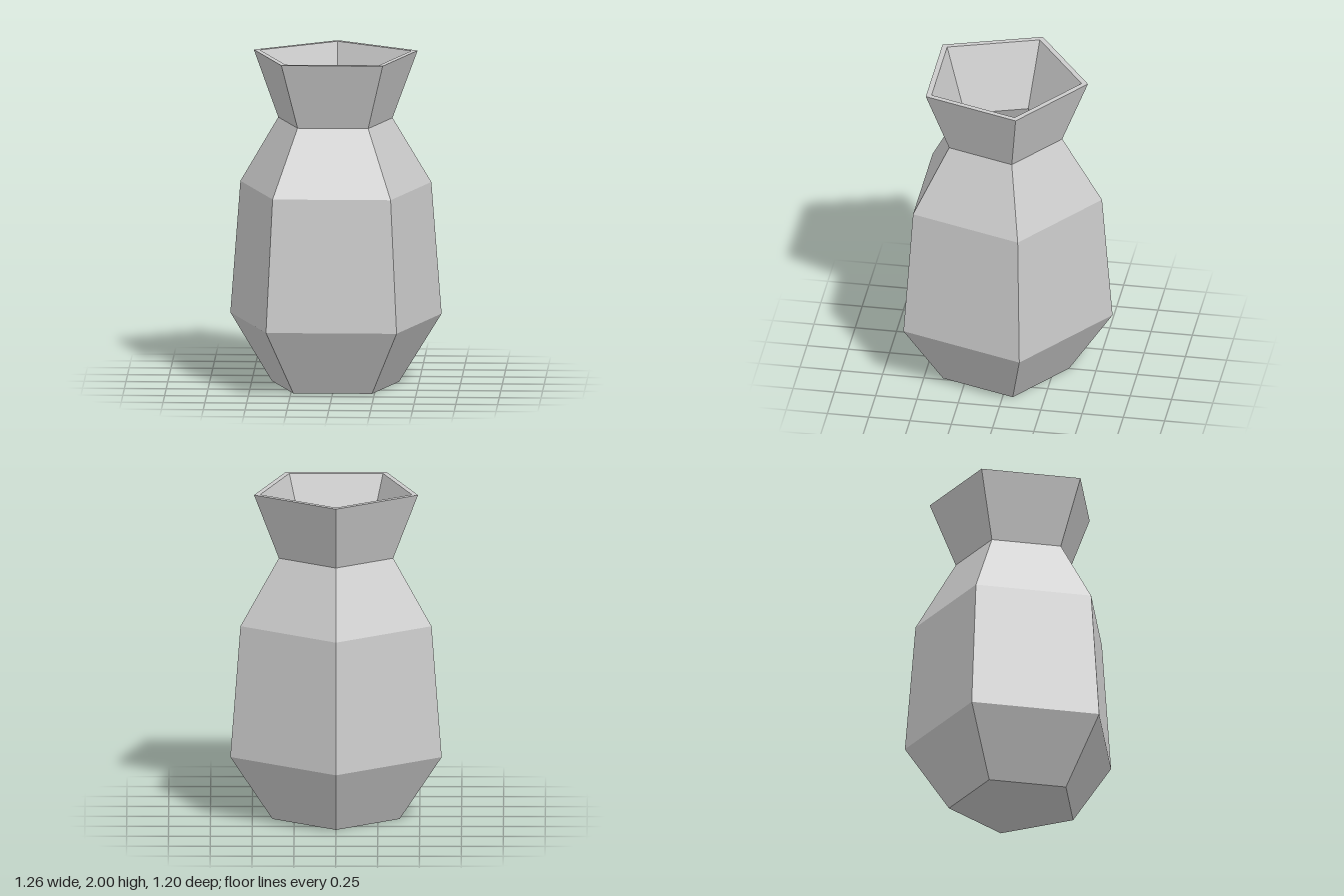
import * as THREE from 'three';

export function createModel() {
  const group = new THREE.Group();
  group.name = 'vase';

  // Closed wall profile [radius, height]: outside from base to rim, then down the inside
  const profile = [
    [0, 0], [0.4, 0], [0.664, 0.4], [0.6, 1.2], [0.359, 1.6], [0.515, 2],
    [0.476, 2], [0.326, 1.6], [0.562, 1.19], [0.624, 0.41], [0.38, 0.04], [0, 0.04],
  ].map(([r, y]) => new THREE.Vector2(r, y));

  // Five-sided body with one corner pointing to the back
  const body = new THREE.Mesh(
    new THREE.LatheGeometry(profile, 5, Math.PI),
    new THREE.MeshStandardMaterial({ color: 0xcccccc, flatShading: true })
  );
  body.name = 'vaseBody';

  // A pentagon's bounds are off its axis, so shift it to be centred in depth
  body.position.z = 0.063;
  group.add(body);
  return group;
}
